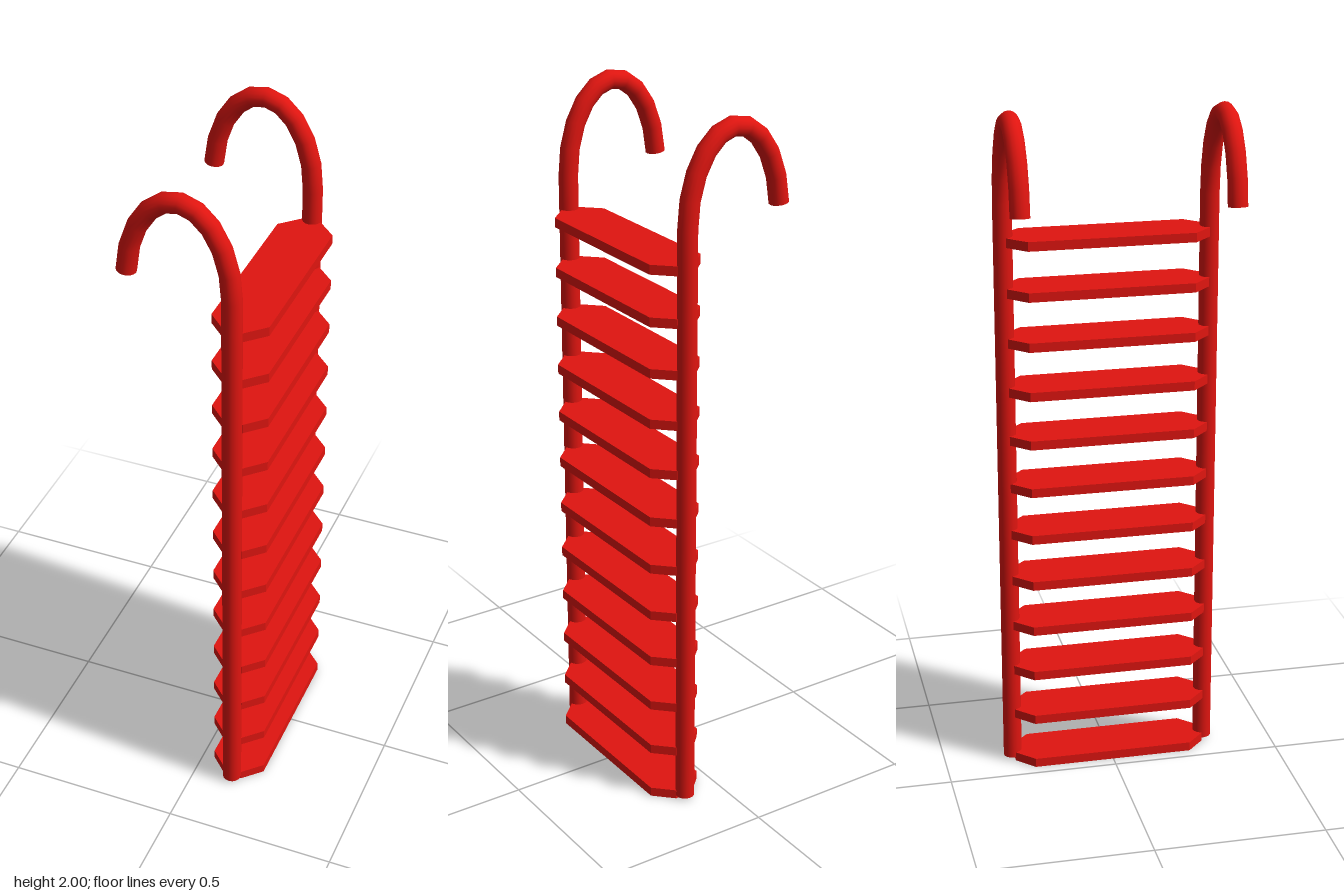
import * as THREE from 'three';

const RAIL_X = 0.115, RAIL_Z = 0.295, RAIL_R = 0.0275, RAIL_BOTTOM = 0.013;
const HOOK = { x: -0.03, y: 1.72, rx: 0.145, ry: 0.2525, end: Math.PI * 0.968, steps: 10 };
const TREADS = 12, TREAD_GAP = 0.145, TREAD_THICK = 0.027;

// Centre line of a rail: straight upright, then an elliptical hook
function railCurve() {
  const points = [RAIL_BOTTOM, 0.6, 1.2, 1.6].map(y => new THREE.Vector3(RAIL_X, y, 0));
  for (let i = 0; i <= HOOK.steps; i++) {
    const a = HOOK.end * i / HOOK.steps;
    points.push(new THREE.Vector3(HOOK.x + HOOK.rx * Math.cos(a), HOOK.y + HOOK.ry * Math.sin(a), 0));
  }
  const curve = new THREE.CatmullRomCurve3(points);
  // Place the tube's rings exactly on the control points
  curve.getPointAt = (t, target) => curve.getPoint(t, target);
  curve.getTangentAt = (t, target) => curve.getTangent(t, target);
  return curve;
}

// Hooked rail with closed ends
function makeRail(name, z, material) {
  const rail = new THREE.Group();
  rail.name = name;
  rail.position.z = z;
  const curve = railCurve();
  const tube = new THREE.Mesh(
    new THREE.TubeGeometry(curve, curve.points.length - 1, RAIL_R, 16), material);
  tube.name = 'railTube';
  rail.add(tube);
  for (const [t, direction] of [[0, -1], [1, 1]]) {
    const cap = new THREE.Mesh(new THREE.CircleGeometry(RAIL_R, 16), material);
    cap.name = t ? 'hookEndCap' : 'footCap';
    cap.position.copy(curve.getPoint(t));
    cap.quaternion.setFromUnitVectors(
      new THREE.Vector3(0, 0, 1), curve.getTangent(t).multiplyScalar(direction));
    rail.add(cap);
  }
  return rail;
}

// Flat tread with corners cut back towards the rails
function treadGeometry() {
  const w = 0.08, n = 0.027, shoulder = 0.238, end = 0.29;
  const outline = [[n, -end], [w, -shoulder], [w, shoulder], [n, end],
    [-n, end], [-w, shoulder], [-w, -shoulder], [-n, -end]];
  const shape = new THREE.Shape(outline.map(([x, y]) => new THREE.Vector2(x, y)));
  return new THREE.ExtrudeGeometry(shape, { depth: TREAD_THICK, bevelEnabled: false })
    .rotateX(-Math.PI / 2);
}

export function createModel() {
  const model = new THREE.Group();
  model.name = 'hookLadder';
  const red = new THREE.MeshStandardMaterial({ color: 0xe01510 });

  model.add(makeRail('frontRail', RAIL_Z, red), makeRail('backRail', -RAIL_Z, red));

  const treadShape = treadGeometry();
  for (let i = 0; i < TREADS; i++) {
    const tread = new THREE.Mesh(treadShape, red);
    tread.name = `tread${i + 1}`;
    tread.position.set(RAIL_X, 0.003 + i * TREAD_GAP, 0);
    model.add(tread);
  }
  return model;
}
